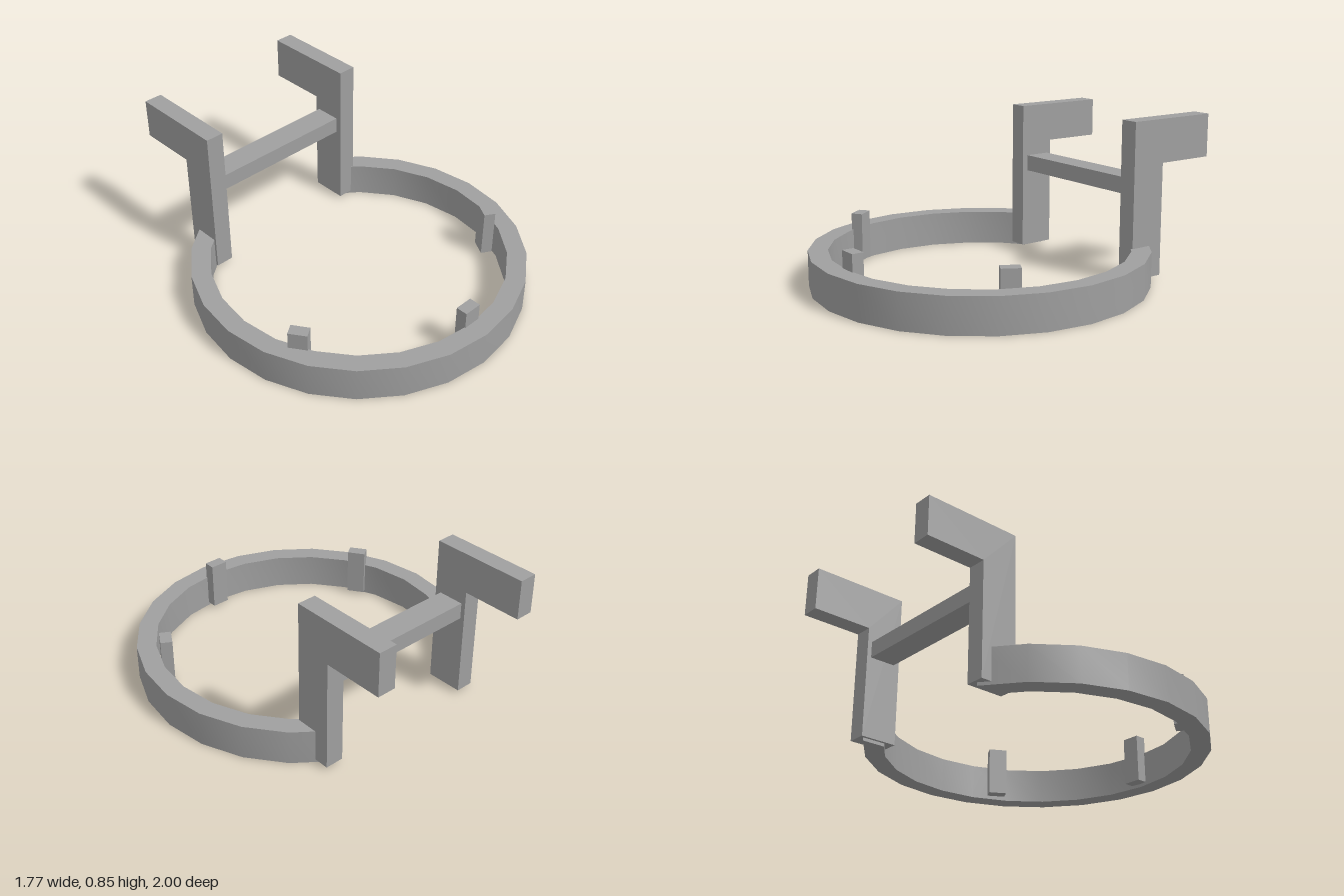
import * as THREE from 'three';
import { toCreasedNormals } from 'three/addons/utils/BufferGeometryUtils.js';

export function createModel() {
  const model = new THREE.Group();
  const material = new THREE.MeshStandardMaterial({ color: 0x9f9f9f });

  const add = (name, geometry) => {
    const mesh = new THREE.Mesh(geometry, material);
    mesh.name = name;
    model.add(mesh);
    return mesh;
  };

  // Open ring: 24-sided, with a gap at the back; both ends are cut square inside the uprights
  const ringZ = 0.11, outer = 0.887, inner = 0.784, step = Math.PI / 12, endX = 0.443;
  const arc = (radius) => Array.from({ length: 21 }, (_, i) => {
    const a = Math.PI * 2 / 3 + i * step;
    return new THREE.Vector2(radius * Math.cos(a), radius * Math.sin(a));
  });
  const innerArc = arc(inner);
  for (const [end, next] of [[0, 1], [20, 19]]) {
    const a = innerArc[end], b = innerArc[next];
    a.lerp(b, (endX - Math.abs(a.x)) / (Math.abs(b.x) - Math.abs(a.x)));
  }
  const ringShape = new THREE.Shape([...arc(outer), ...innerArc.reverse()]);
  const ring = new THREE.ExtrudeGeometry(ringShape, { depth: 0.187, bevelEnabled: false });
  ring.rotateX(-Math.PI / 2).translate(0, 0, ringZ);
  add('ring', toCreasedNormals(ring, Math.PI / 6));

  // Uprights with a rearward arm, as one angled profile (z, y) extruded along x
  const addBracket = (name, x0, x1, top) => {
    const profile = new THREE.Shape([
      [0.477, 0.017], [0.675, 0.017], [0.675, 0.617], [1, 0.617], [1, top], [0.477, top],
    ].map(([back, y]) => new THREE.Vector2(back, y)));
    const geometry = new THREE.ExtrudeGeometry(profile, { depth: x1 - x0, bevelEnabled: false });
    geometry.rotateY(Math.PI / 2).translate(x0, 0, 0);
    add(name, geometry);
  };
  addBracket('leftBracket', 0.428, 0.528, 0.847);
  addBracket('rightBracket', -0.494, -0.396, 0.829);

  // Bar between the uprights
  add('crossbar', new THREE.BoxGeometry(0.85, 0.088, 0.142)).position.set(0.016, 0.499, -0.58);

  // Pegs standing against the inside of the ring
  for (const [name, x, z, turn] of [
    ['frontPeg', 0.007, 0.863, 0],
    ['leftPeg', 0.672, 0.417, 1.05],
    ['rightPeg', -0.701, 0.421, -0.97],
  ]) {
    const peg = add(name, new THREE.BoxGeometry(0.098, 0.26, 0.062));
    peg.position.set(x, 0.148, z);
    peg.rotation.y = turn;
  }

  return model;
}
